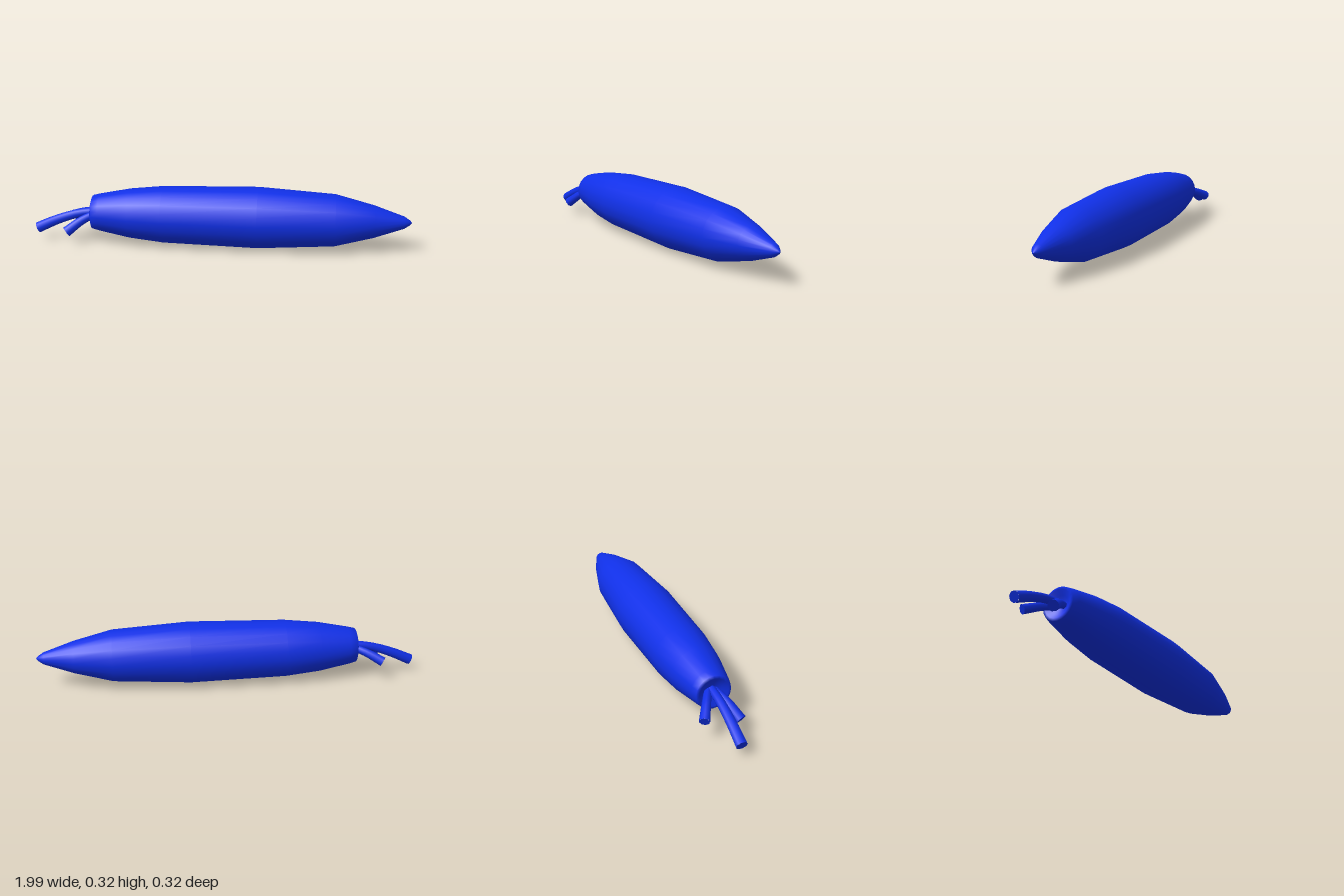
import * as THREE from 'three';

const AXIS_Y = 0.161;
const material = new THREE.MeshStandardMaterial({ color: 0x1030e8 });
const v = (x, y, z) => new THREE.Vector3(x, y, z);

// Tapered, bent strand: a tube whose rings are scaled along its length, with a flat end
function strand(name, points, r0, r1) {
  const curve = new THREE.CatmullRomCurve3(points);
  const rings = 8, sides = 8;
  const geo = new THREE.TubeGeometry(curve, rings, 1, sides);
  const pos = geo.attributes.position;
  const p = v(0, 0, 0);
  for (let i = 0; i <= rings; i++) {
    const centre = curve.getPointAt(i / rings);
    const r = THREE.MathUtils.lerp(r0, r1, i / rings);
    for (let j = 0; j <= sides; j++) {
      const k = i * (sides + 1) + j;
      p.fromBufferAttribute(pos, k).sub(centre).multiplyScalar(r).add(centre);
      pos.setXYZ(k, p.x, p.y, p.z);
    }
  }
  const group = new THREE.Group();
  group.name = name;
  const tube = new THREE.Mesh(geo, material);
  tube.name = name + 'Tube';

  const cap = new THREE.Mesh(new THREE.CircleGeometry(r1, sides), material);
  cap.name = name + 'End';
  cap.position.copy(curve.getPointAt(1));
  cap.quaternion.setFromUnitVectors(v(0, 0, 1), curve.getTangentAt(1));
  group.add(tube, cap);
  return group;
}

export function createModel() {
  const model = new THREE.Group();
  model.name = 'taperedBody';

  // Long body turned about the x axis, with a slightly dished rear end: [radius, x]
  const profile = [
    [0, -0.655], [0.05, -0.665], [0.075, -0.685], [0.09, -0.68], [0.1, -0.64],
    [0.131, -0.48], [0.15, -0.3], [0.161, 0.2], [0.136, 0.6],
    [0.085, 0.8], [0.032, 0.955], [0.012, 0.985], [0, 0.995],
  ].map(([r, x]) => new THREE.Vector2(r, x));
  const body = new THREE.Mesh(new THREE.LatheGeometry(profile, 20), material);
  body.name = 'body';
  body.rotation.z = -Math.PI / 2;
  body.position.y = AXIS_Y;
  model.add(body);

  // Three drooping strands at the rear
  model.add(
    strand('longStrand', [v(-0.64, 0.168, 0), v(-0.76, 0.15, 0), v(-0.88, 0.11, 0), v(-0.986, 0.061, 0)], 0.02, 0.029),
    strand('frontStrand', [v(-0.64, 0.165, 0.01), v(-0.73, 0.128, 0.045), v(-0.812, 0.07, 0.08)], 0.018, 0.028),
    strand('backStrand', [v(-0.64, 0.165, -0.01), v(-0.73, 0.142, -0.06), v(-0.812, 0.105, -0.105)], 0.018, 0.026),
  );
  return model;
}
